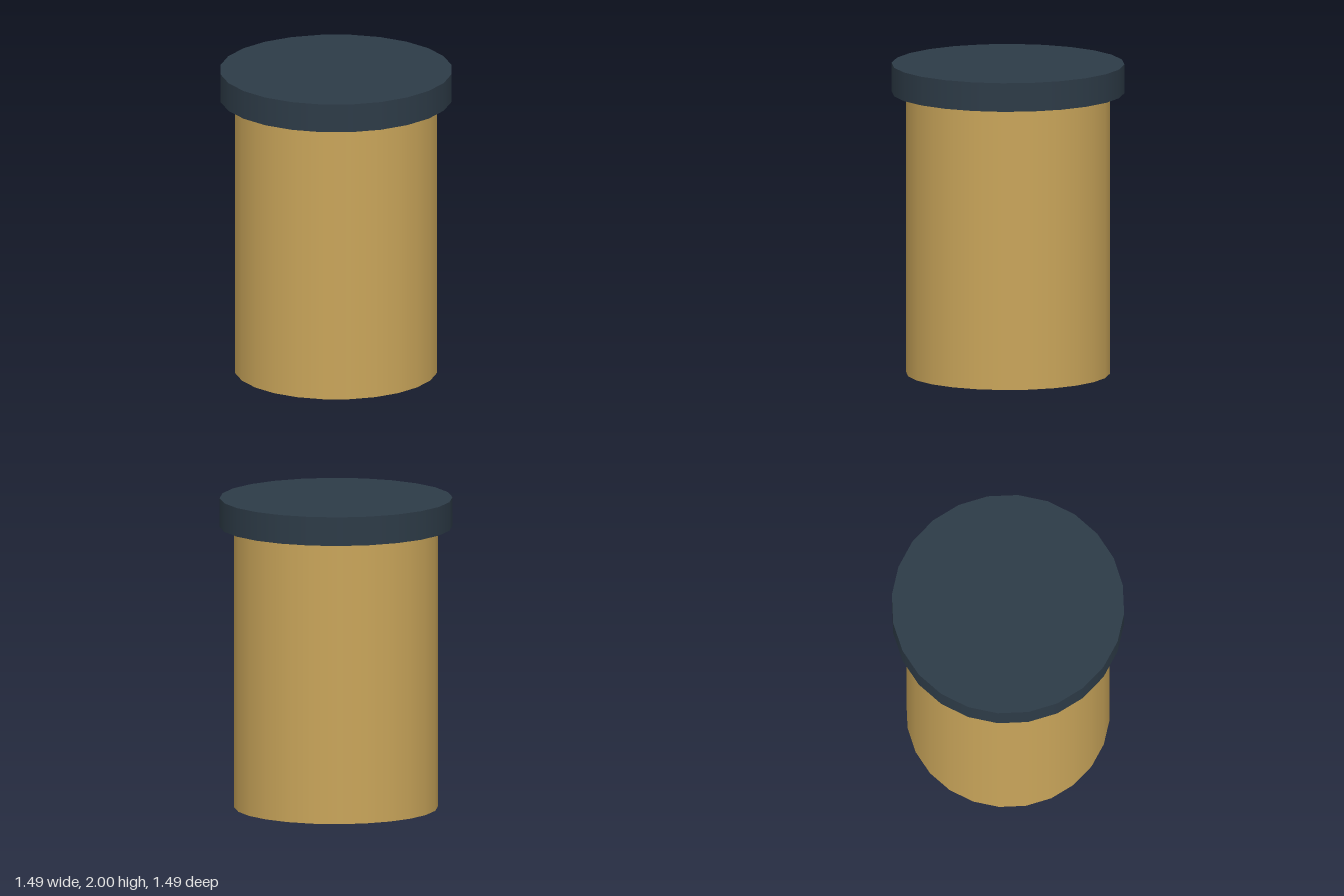
import * as THREE from 'three';

const SIDES = 24;
const LID_BOTTOM = 1.815;
const TOP = 2;

// Upright closed cylinder spanning two heights
function drum(name, radius, bottom, top, color) {
  const geometry = new THREE.CylinderGeometry(radius, radius, top - bottom, SIDES);
  const mesh = new THREE.Mesh(geometry, new THREE.MeshStandardMaterial({ color }));
  mesh.position.y = (bottom + top) / 2;
  mesh.name = name;
  return mesh;
}

export function createModel() {
  const model = new THREE.Group();
  model.name = 'lidded canister';

  // Tan body, closed at the base
  model.add(drum('body', 0.65, 0, LID_BOTTOM, 0xc9a55a));

  // Dark overhanging lid
  model.add(drum('lid', 0.743, LID_BOTTOM, TOP, 0x2d3b47));

  return model;
}
